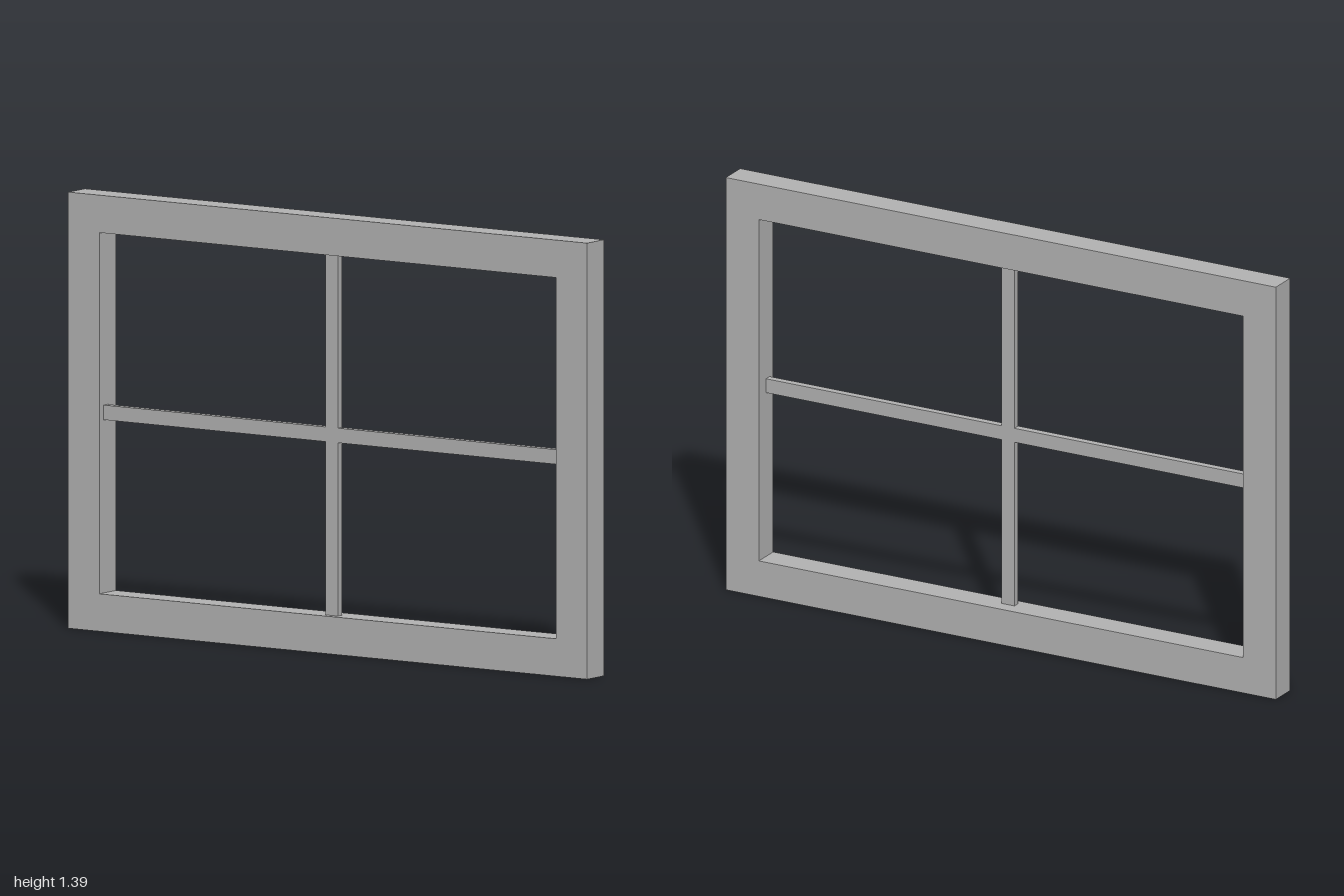
import * as THREE from 'three';

const W = 2, H = 1.395, DEPTH = 0.093; // outer frame
const BORDER = 0.12;                   // frame face width
const BAR = 0.047, BAR_DEPTH = 0.024;  // glazing bars

// Rectangle outline centred on (0, H / 2)
function rectangle(path, w, h) {
  path.moveTo(-w / 2, (H - h) / 2);
  path.lineTo(w / 2, (H - h) / 2);
  path.lineTo(w / 2, (H + h) / 2);
  path.lineTo(-w / 2, (H + h) / 2);
  path.closePath();
  return path;
}

function extruded(name, shape, depth, z, material) {
  const geometry = new THREE.ExtrudeGeometry(shape, { depth, bevelEnabled: false });
  const mesh = new THREE.Mesh(geometry, material);
  mesh.name = name;
  mesh.position.z = z;
  return mesh;
}

export function createModel() {
  const group = new THREE.Group();
  group.name = 'windowFrame';
  const grey = new THREE.MeshStandardMaterial({ color: 0xb2b2b2 });
  grey.name = 'grey';

  const innerW = W - 2 * BORDER, innerH = H - 2 * BORDER;

  // Outer frame with one rectangular opening
  const frame = rectangle(new THREE.Shape(), W, H);
  frame.holes.push(rectangle(new THREE.Path(), innerW, innerH));
  group.add(extruded('outerFrame', frame, DEPTH, -DEPTH / 2, grey));

  // Cross-shaped glazing bars, set just in front of the frame's middle plane
  const a = innerW / 2, b = innerH / 2, t = BAR / 2, m = H / 2;
  const cross = new THREE.Shape([
    [-a, -t], [-t, -t], [-t, -b], [t, -b], [t, -t], [a, -t],
    [a, t], [t, t], [t, b], [-t, b], [-t, t], [-a, t],
  ].map(([x, y]) => new THREE.Vector2(x, y + m)));
  group.add(extruded('glazingBars', cross, BAR_DEPTH, 0, grey));

  return group;
}
